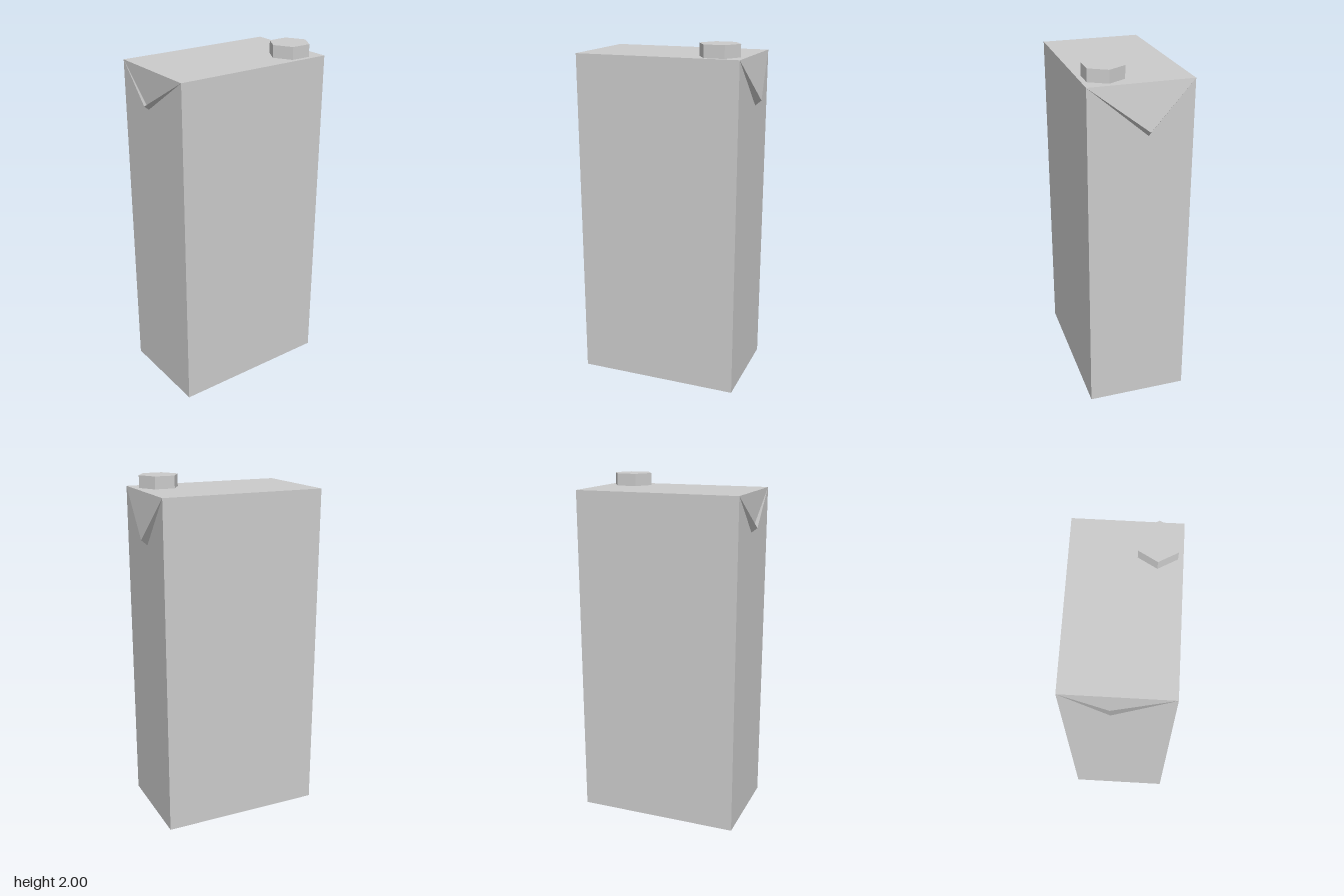
import * as THREE from 'three';

const material = new THREE.MeshStandardMaterial({ color: 0xcccccc, flatShading: true, side: THREE.DoubleSide });

// Flat-sided mesh from convex polygons, corners counter-clockwise from outside
function polygonMesh(name, polygons) {
  const positions = [];
  for (const p of polygons) {
    for (let i = 1; i < p.length - 1; i++) positions.push(...p[0], ...p[i], ...p[i + 1]);
  }
  const geometry = new THREE.BufferGeometry();
  geometry.setAttribute('position', new THREE.Float32BufferAttribute(positions, 3));
  geometry.computeVertexNormals();
  const mesh = new THREE.Mesh(geometry, material);
  mesh.name = name;
  return mesh;
}

// Folded ear: outer triangle a-b-tip plus two thin edges running back to the inner tip
function flapMesh(name, a, b, tip, inner, hasFace = true) {
  const polygons = [[tip, b, inner], [a, tip, inner]];
  if (hasFace) polygons.push([a, b, tip]);
  return polygonMesh(name, polygons);
}

export function createModel() {
  const group = new THREE.Group();
  group.name = 'drinkCarton';

  const left = 0.47, right = -0.474, depth = 0.288, height = 1.93;
  const ring = (y) => [[right, y, depth], [left, y, depth], [left, y, -depth], [right, y, -depth]];
  const b = ring(0), t = ring(height);

  // Folded base: two panels rising to a shallow central crease
  const creaseLeft = [0.25, 0.04, 0.03], creaseRight = [-0.27, 0.04, 0.03];
  const walls = b.map((corner, i) => [corner, b[(i + 1) % 4], t[(i + 1) % 4], t[i]]);
  group.add(polygonMesh('cartonBody', [
    ...walls,
    t,
    [b[1], b[0], creaseRight, creaseLeft],
    [b[3], b[2], creaseLeft, creaseRight],
  ]));

  // Ears folded under the base
  group.add(flapMesh('leftBaseFlap', b[2], b[1], [0.28, 0, 0.03], creaseLeft));
  group.add(flapMesh('rightBaseFlap', b[0], b[3], [-0.3, 0, 0.03], creaseRight));

  // Ears folded down the sides; the right one is open
  group.add(flapMesh('leftTopFlap', t[2], t[1], [0.505, 1.675, -0.04], [left, 1.645, -0.04]));
  group.add(flapMesh('rightTopFlap', t[0], t[3], [-0.505, 1.735, -0.032], [right, 1.71, -0.038], false));

  // Hexagonal screw cap
  const cap = new THREE.Mesh(new THREE.CylinderGeometry(0.116, 0.116, 0.07, 6, 1, false, Math.PI / 6), material);
  cap.name = 'cap';
  cap.position.set(0.322, height + 0.035, 0.16);
  group.add(cap);

  return group;
}
